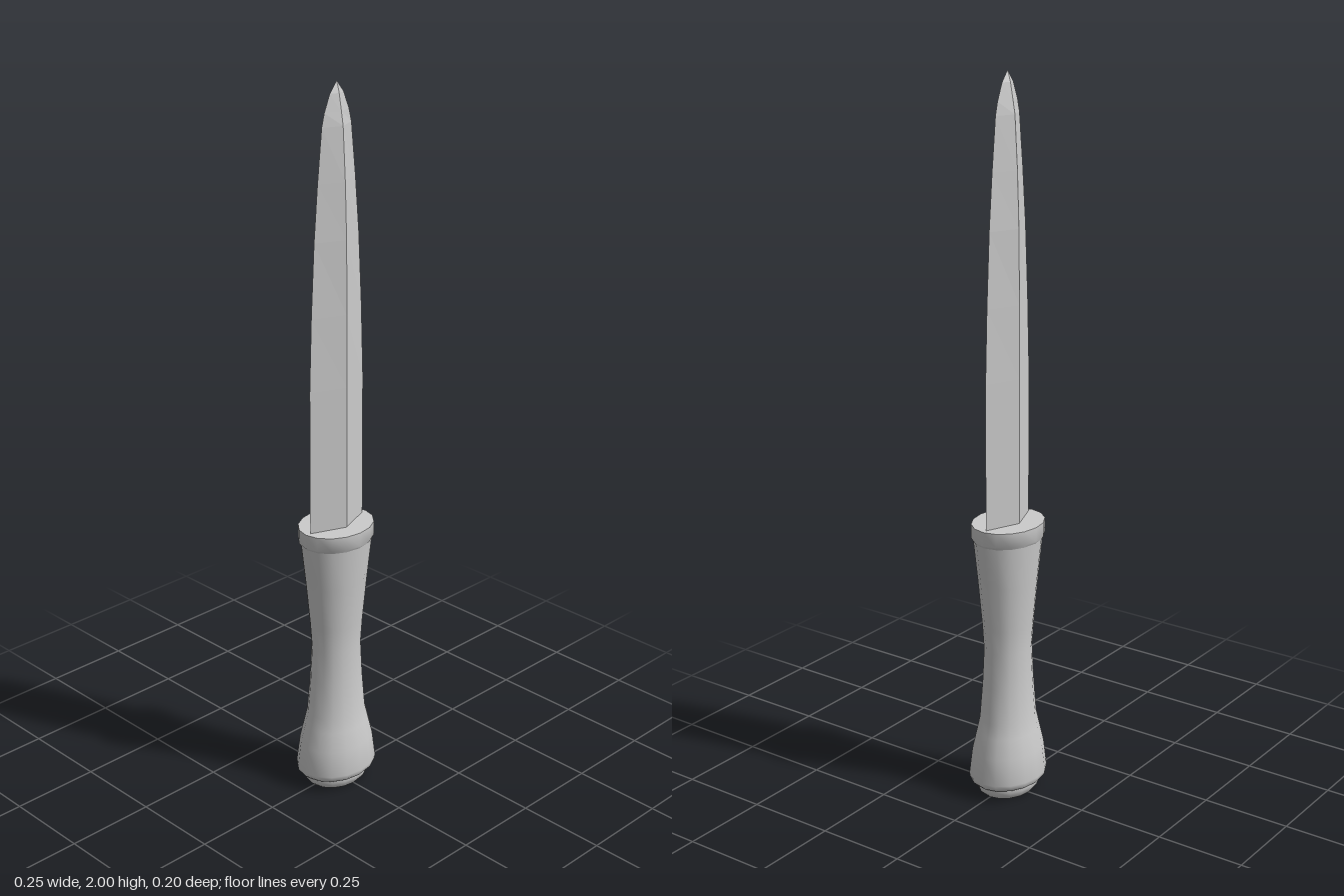
import * as THREE from 'three';
import { toCreasedNormals } from 'three/addons/utils/BufferGeometryUtils.js';

const SIDES = 16;
const DEPTH_RATIO = 0.82; // oval cross-section of the hilt

// Oval turned part from a [radius, height] profile, bottom to top
function turned(name, profile) {
  const points = profile.map(([r, y]) => new THREE.Vector2(r, y));
  let geometry = new THREE.LatheGeometry(points, SIDES);
  geometry.scale(1, 1, DEPTH_RATIO);
  geometry = toCreasedNormals(geometry, 0.7);
  const mesh = new THREE.Mesh(geometry, new THREE.MeshStandardMaterial({ color: 0xcccccc }));
  mesh.name = name;
  return mesh;
}

// Diamond-section blade from [half width, half depth, height] sections
function createBlade() {
  const sections = [
    [0.099, 0.039, 0.79], [0.098, 0.039, 1.2], [0.091, 0.038, 1.4],
    [0.08, 0.036, 1.6], [0.067, 0.031, 1.75], [0.052, 0.023, 1.89],
    [0.043, 0.017, 1.925], [0.024, 0.009, 1.97], [0, 0, 2],
  ];
  const profile = sections.map(([w, , y]) => new THREE.Vector2(w, y));
  const geometry = new THREE.LatheGeometry(profile, 4);
  const pos = geometry.attributes.position;
  for (let i = 0; i < pos.count; i++) {
    const [w, d] = sections[i % sections.length];
    pos.setZ(i, (w > 0 ? (pos.getZ(i) / w) * d : 0) + 0.002);
  }
  geometry.computeVertexNormals();
  const mesh = new THREE.Mesh(
    geometry,
    new THREE.MeshStandardMaterial({ color: 0xcccccc, flatShading: true })
  );
  mesh.name = 'blade';
  return mesh;
}

export function createModel() {
  const dagger = new THREE.Group();
  dagger.name = 'dagger';

  dagger.add(createBlade());

  // Collar where the blade enters the hilt
  dagger.add(turned('collar', [
    [0, 0.75], [0.108, 0.75], [0.113, 0.757], [0.113, 0.797], [0, 0.797],
  ]));

  // Waisted grip flaring out at the bottom
  dagger.add(turned('grip', [
    [0, 0.035], [0.112, 0.035], [0.121, 0.044], [0.123, 0.055], [0.113, 0.13],
    [0.099, 0.185], [0.089, 0.225], [0.08, 0.33], [0.075, 0.43], [0.08, 0.5],
    [0.093, 0.63], [0.107, 0.752], [0, 0.752],
  ]));

  // Rounded cap under the grip
  dagger.add(turned('pommelCap', [
    [0, 0], [0.086, 0], [0.096, 0.01], [0.101, 0.023], [0.101, 0.036],
  ]));

  return dagger;
}
